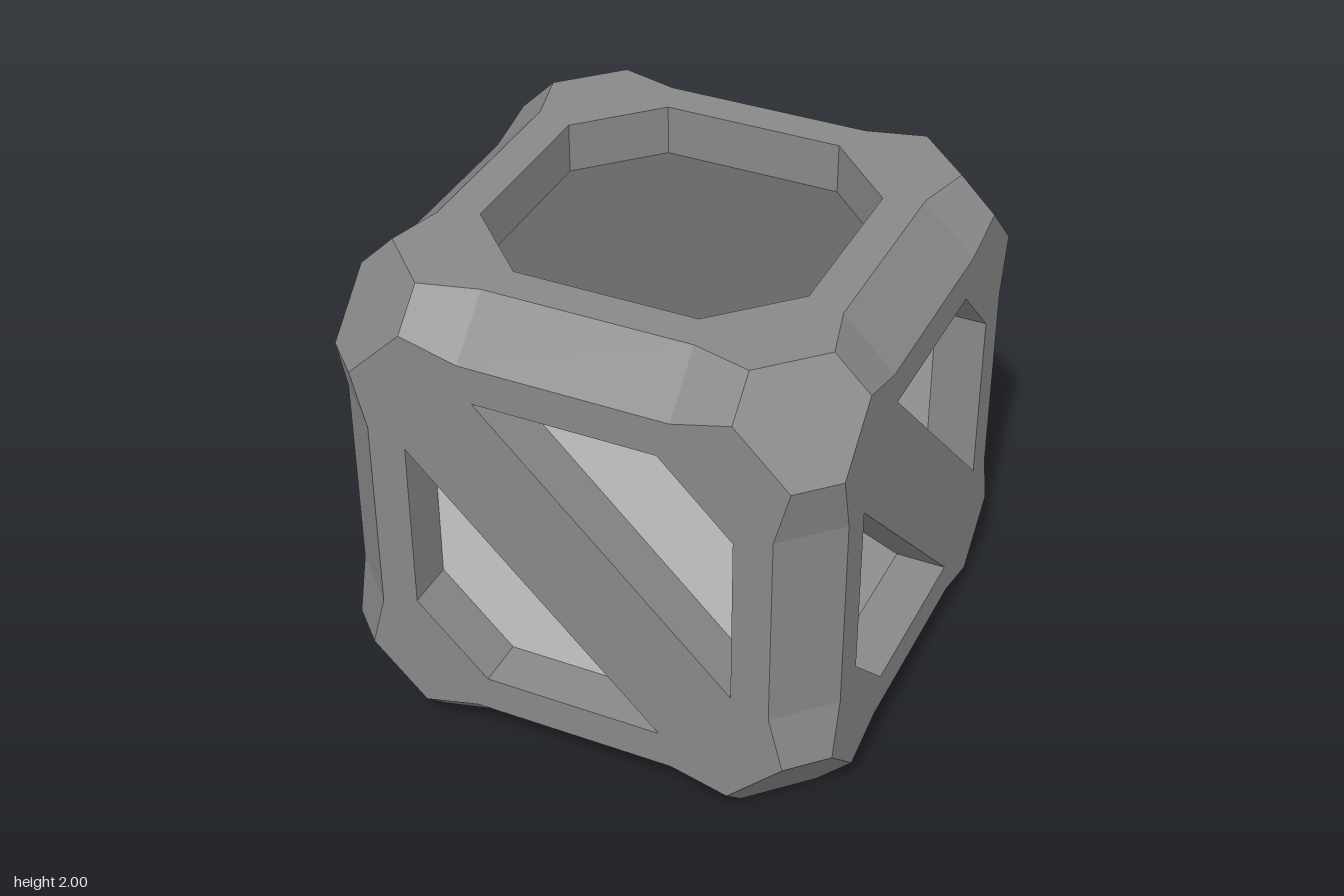
import * as THREE from 'three';

const mat = (name, color) => Object.assign(new THREE.MeshStandardMaterial({ color }), { name });

// Flat-shaded geometry from convex polygons; outward flips each one to face away from the origin
function polygons(list, outward = false) {
  const pos = [];
  for (const poly of list) {
    let p = poly.map(v => new THREE.Vector3(...v));
    if (outward) {
      const n = p[1].clone().sub(p[0]).cross(p[2].clone().sub(p[0]));
      if (n.dot(p[0]) < 0) p = p.reverse();
    }
    for (let i = 1; i < p.length - 1; i++)
      for (const v of [p[0], p[i], p[i + 1]]) pos.push(v.x, v.y, v.z);
  }
  const g = new THREE.BufferGeometry();
  g.setAttribute('position', new THREE.Float32BufferAttribute(pos, 3));
  g.computeVertexNormals();
  return g;
}

const shapeOf = pts => new THREE.Shape(pts.map(p => new THREE.Vector2(...p)));

// Repeats a run of points four times, a quarter turn each
function quarterTurns(run) {
  const out = [];
  for (let q = 0, pts = run; q < 4; q++) {
    out.push(...pts);
    pts = pts.map(([x, y]) => [-y, x]);
  }
  return out;
}

const octagon = (r, c) => quarterTurns([[r, c], [c, r]]);

export function createModel() {
  const frame = mat('frame grey', 0x888888);
  const floorGrey = mat('recess dark grey', 0x666666);
  const light = mat('panel light grey', 0xc5c5c5);
  const screenBlack = mat('screen black', 0x2e2e2e);
  const keyBlack = mat('key black', 0x3c3c3c);
  const keyRed = mat('key red', 0xee1010);

  const model = new THREE.Group();
  model.name = 'crate';
  const body = new THREE.Group();
  body.name = 'body';
  body.position.y = 1;
  model.add(body);

  const add = (parent, name, geo, material, x = 0, y = 0, z = 0) => {
    const m = new THREE.Mesh(geo, material);
    m.name = name;
    m.position.set(x, y, z);
    parent.add(m);
    return m;
  };

  // Bevelled edges, flaring out of the face towards each corner
  const stations = [[-0.64, 0.86], [-0.41, 0.8], [0.41, 0.8], [0.64, 0.86]];
  const edges = [], corners = [];
  const signs = [-1, 1];
  for (let axis = 0; axis < 3; axis++)
    for (const s of signs) for (const t of signs) {
      const place = (a, b, c) => {
        const v = [];
        v[axis] = a;
        v[(axis + 1) % 3] = b * s;
        v[(axis + 2) % 3] = c * t;
        return v;
      };
      for (let i = 0; i < 3; i++) {
        const [a0, w0] = stations[i], [a1, w1] = stations[i + 1];
        edges.push([place(a0, 1, w0), place(a1, 1, w1), place(a1, w1, 1), place(a0, w0, 1)]);
      }
    }
  add(body, 'bevelledEdges', polygons(edges, true), frame);

  // Hexagonal corner caps
  const [A, B, C] = [1, 0.86, 0.64];
  const hex = [[A, B, C], [B, A, C], [C, A, B], [C, B, A], [B, C, A], [A, C, B]];
  for (const x of signs) for (const y of signs) for (const z of signs)
    corners.push(hex.map(p => [p[0] * x, p[1] * y, p[2] * z]));
  add(body, 'cornerCaps', polygons(corners, true), frame);

  // Face outline, openings and recess depth
  const outline = quarterTurns([[0.8, 0.41], [0.86, 0.64], [0.64, 0.86], [0.41, 0.8]]);
  const opening = octagon(0.65, 0.36);
  const lowerHole = [[-0.65, 0.36], [-0.65, -0.36], [-0.36, -0.65], [0.36, -0.65]];
  const upperHole = lowerHole.map(([x, y]) => [-x, -y]);
  const floorZ = 0.795;

  // One side of the crate, built facing +z
  function side(name, holes, floorMaterial, rx, ry) {
    const g = new THREE.Group();
    g.name = name;
    g.rotation.set(rx, ry, 0);
    body.add(g);
    const shape = shapeOf(outline);
    shape.holes = holes.map(shapeOf);
    add(g, 'faceFrame', new THREE.ShapeGeometry(shape), frame, 0, 0, 1);
    const walls = [];
    for (const h of holes) h.forEach((a, i) => {
      const b = h[(i + 1) % h.length];
      walls.push([[...a, 1], [...b, 1], [...b, floorZ], [...a, floorZ]]);
    });
    add(g, 'recessWalls', polygons(walls), frame);
    add(g, 'recessPanel', new THREE.ShapeGeometry(shapeOf(opening)), floorMaterial, 0, 0, floorZ);
    return g;
  }

  // Three sides with a diagonal brace, plain recesses on top and bottom
  const Q = Math.PI / 2;
  const braced = [lowerHole, upperHole];
  side('frontSide', braced, light, 0, 0);
  side('leftSide', braced, light, 0, Q);
  side('backSide', braced, light, 0, 2 * Q);
  side('topSide', [opening], floorGrey, -Q, 0);
  side('bottomSide', [opening], floorGrey, Q, 0);

  // Control side: raised plate with a screen and a chequered keypad
  const control = side('controlSide', [opening], floorGrey, 0, -Q);
  const plate = new THREE.ExtrudeGeometry(shapeOf(octagon(0.56, 0.32)),
    { depth: 0.9 - floorZ, bevelEnabled: false });
  add(control, 'controlPlate', plate, frame, 0, 0, floorZ);
  add(control, 'screen', new THREE.BoxGeometry(0.4, 0.75, 0.008), screenBlack, -0.2, 0, 0.904);
  const key = new THREE.BoxGeometry(0.08, 0.1, 0.04);
  for (let r = 0; r < 5; r++)
    for (let c = 0; c < 5; c++)
      add(control, 'key', key, (r + c) % 2 ? keyBlack : keyRed,
        0.27 + (c - 2) * 0.095, 0.015 + (r - 2) * 0.115, 0.92);

  return model;
}
